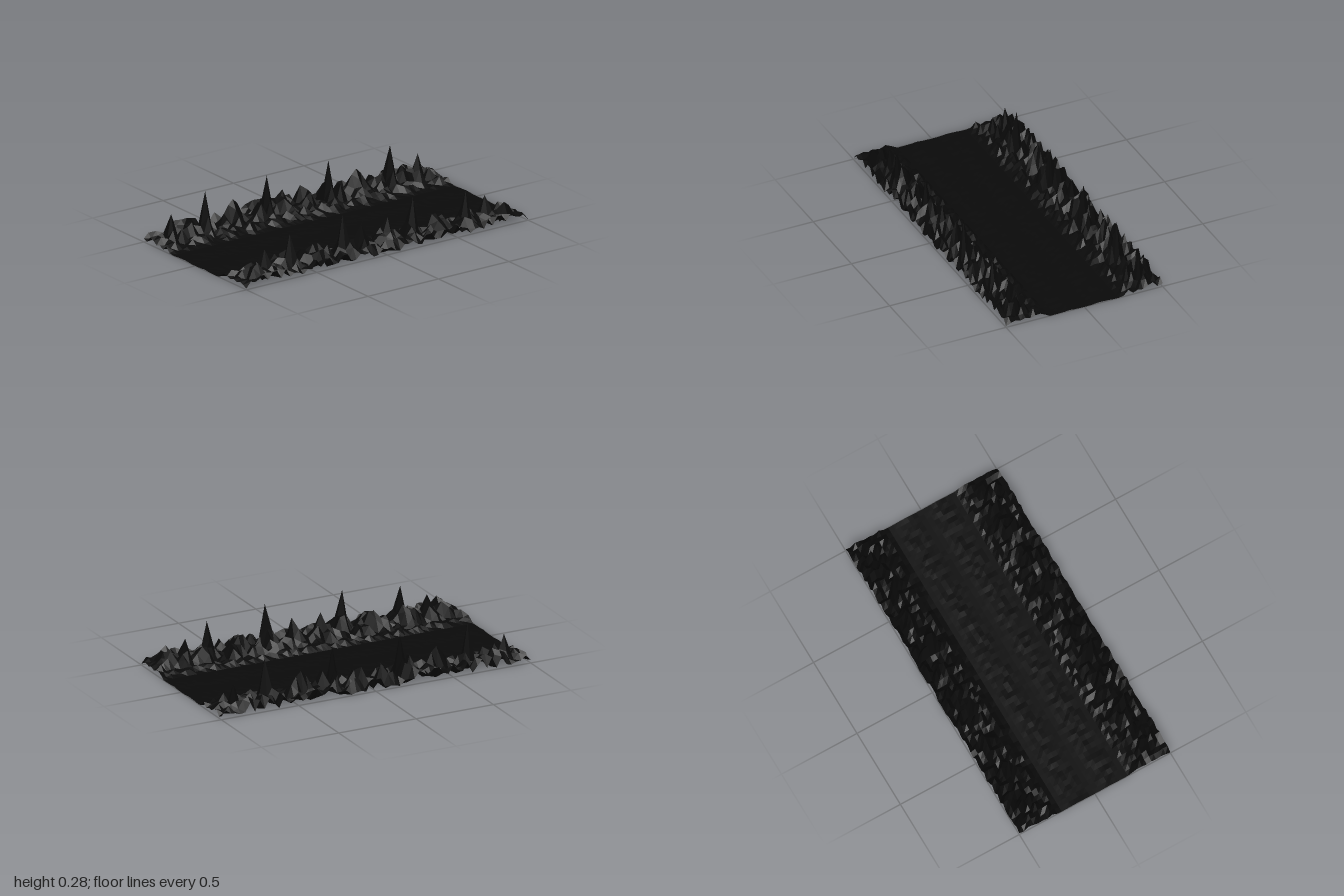
import * as THREE from 'three';

const COLS = 32, ROWS = 64; // grid cells of 1/32 unit

// Highest ordinary ground per column, counted inward from each outer edge
const LEFT = [0.08, 0.11, 0.14, 0.15, 0.13, 0.13, 0.07, 0.055, 0.02];
const RIGHT = [0.076, 0.085, 0.11, 0.12, 0.13, 0.11, 0.085, 0.035, 0.035];

// Highest ground per row, from the middle of the strip to either end
const ROW = [
  0.08, 0.08, 0.15, 0.15, 0.1, 0.085, 0.085, 0.15, 0.15, 0.14, 0.1,
  0.06, 0.09, 0.145, 0.15, 0.145, 0.1, 0.04, 0.06, 0.1, 0.15, 0.15,
  0.115, 0.125, 0.11, 0.15, 0.105, 0.1, 0.15, 0.11, 0.105, 0.07, 0.05,
];

// Single summits: column, row from the middle, height
const PEAKS = [
  [4, 7, 0.275], [4, 21, 0.275], [3, 14, 0.17], [3, 28, 0.17], [2, 2, 0.14],
  [5, 21, 0.13], [5, 7, 0.13], [3, 13, 0.14], [3, 15, 0.14], [4, 9, 0.13],
  [29, 8, 0.275], [29, 20, 0.235], [28, 3, 0.175], [28, 25, 0.165],
  [30, 28, 0.12], [28, 20, 0.13], [28, 8, 0.13], [27, 2, 0.11],
];

// Repeatable pseudo-random value from 0 to 1
function hash(i, k) {
  const s = Math.sin(i * 127.1 + k * 311.7 + 4.3) * 43758.5453;
  return s - Math.floor(s);
}

// Height at column i, row k; both halves of the strip mirror each other
function heightAt(i, k) {
  const peak = PEAKS.find((p) => p[0] === i && p[1] === k);
  if (peak) return peak[2];
  const x = i / COLS - 0.5;
  const limit = i < LEFT.length ? LEFT[i] : RIGHT[COLS - i];
  if (limit === undefined) { // gently rippled valley floor
    return 0.006 * Math.sin(Math.PI * x / 0.22) ** 2 * hash(i, k);
  }
  return Math.min(limit, ROW[k]) * (0.06 + 0.94 * hash(i, k) ** 1.2);
}

export function createModel() {
  const group = new THREE.Group();
  group.name = 'valleyTerrain';

  // Flat sheet raised into two jagged ridges with a level valley between
  const geometry = new THREE.PlaneGeometry(1, 2, COLS, ROWS);
  geometry.rotateX(-Math.PI / 2);
  const position = geometry.attributes.position;
  for (let r = 0; r <= ROWS; r++) {
    for (let i = 0; i <= COLS; i++) {
      position.setY(r * (COLS + 1) + i, heightAt(i, Math.abs(r - ROWS / 2)));
    }
  }
  geometry.computeVertexNormals();

  const material = new THREE.MeshStandardMaterial({
    color: 0x0a0a0a, flatShading: true, side: THREE.DoubleSide,
  });
  const terrain = new THREE.Mesh(geometry, material);
  terrain.name = 'ridgesAndValley';
  group.add(terrain);
  return group;
}
